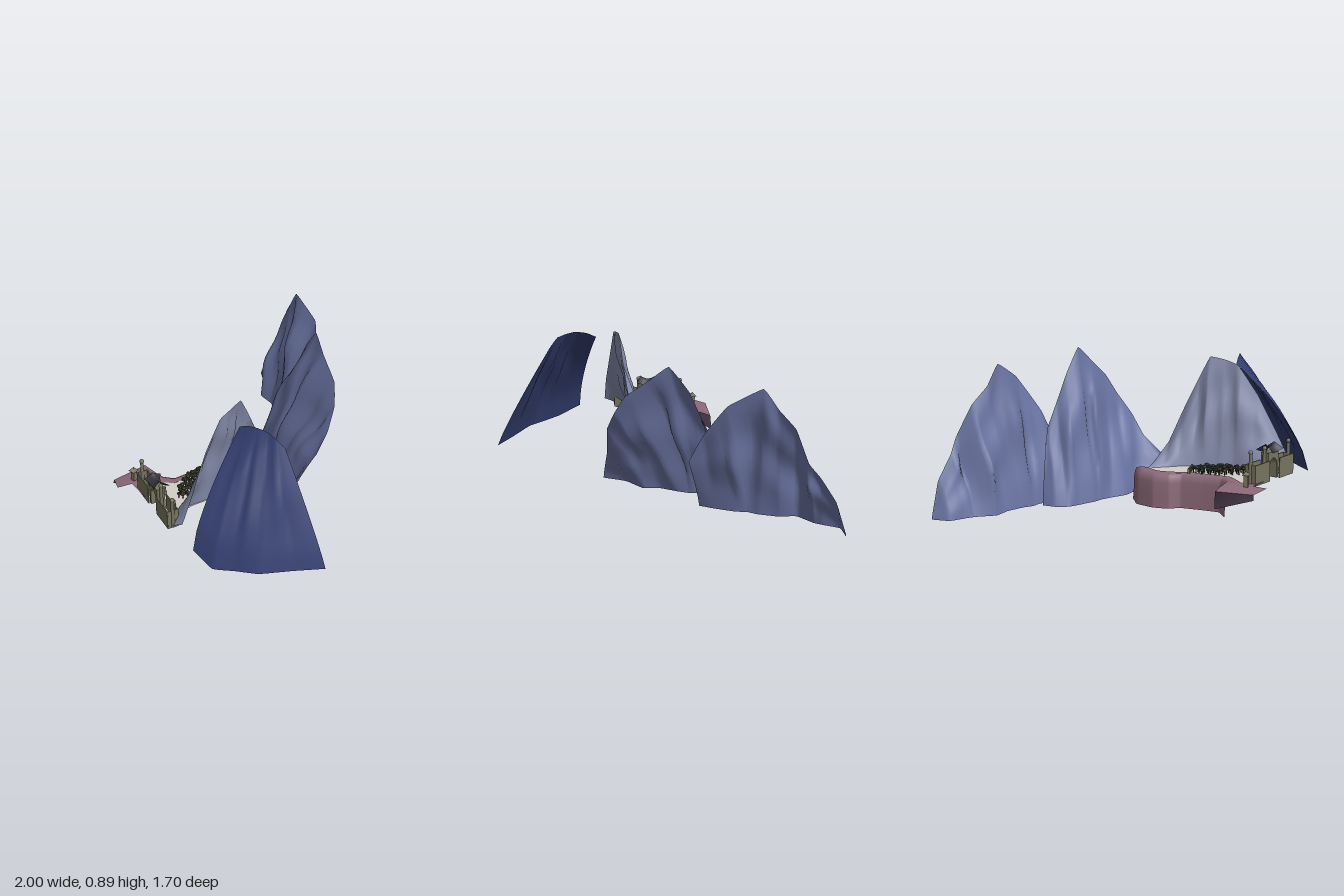
import * as THREE from 'three';

const mat = (color) => new THREE.MeshStandardMaterial({ color, side: THREE.DoubleSide });
const lerp = THREE.MathUtils.lerp;

function add(parent, name, geometry, material, x = 0, y = 0, z = 0) {
  const m = new THREE.Mesh(geometry, material);
  m.name = name;
  m.position.set(x, y, z);
  parent.add(m);
  return m;
}

// Grid surface from a rule (u along, v up)
function gridSurface(cols, rows, point) {
  const pos = [], index = [];
  for (let j = 0; j <= rows; j++) {
    for (let i = 0; i <= cols; i++) pos.push(...point(i / cols, j / rows));
  }
  for (let j = 0; j < rows; j++) {
    for (let i = 0; i < cols; i++) {
      const a = j * (cols + 1) + i, b = a + cols + 1;
      index.push(a, a + 1, b, b, a + 1, b + 1);
    }
  }
  const g = new THREE.BufferGeometry();
  g.setAttribute('position', new THREE.Float32BufferAttribute(pos, 3));
  g.setIndex(index);
  g.computeVertexNormals();
  return g;
}

// Near-straight line through points, keeping a craggy outline
const craggy = (pts) => new THREE.CatmullRomCurve3(pts.map((p) => new THREE.Vector3(...p)), false, 'catmullrom', 0.12);
const at = (y, list) => list.map(([x, z]) => [x, y, z]);

// Leaning mountain sheet between a foot line and a ridge line, with vertical folds
function mountain(foot, ridge, { rise = [0.85, 0.85], fold = 0.024, seed = 0 } = {}) {
  const f = craggy(foot), r = craggy(ridge);
  return gridSurface((foot.length - 1) * 4, 12, (u, v) => {
    const a = f.getPoint(u), b = r.getPoint(u);
    const dx = b.x - a.x, dz = b.z - a.z, len = Math.hypot(dx, dz);
    const wave = Math.sin(u * 27 + v + seed) + 0.8 * Math.sin(u * 47 - v * 2 + seed * 2)
      + 0.6 * Math.sin(v * 10 + u * 11 + seed);
    const d = v + fold * wave * Math.sin(Math.PI * v) * Math.sin(Math.PI * u) / Math.max(len, 0.08);
    return [a.x + dx * d, lerp(a.y, b.y, Math.pow(v, lerp(rise[0], rise[1], u))), a.z + dz * d];
  });
}

export function createModel() {
  const root = new THREE.Group();
  const rock = mat(0x6a74a2), darkRock = mat(0x343f70), paleRock = mat(0x858cab);
  const earth = mat(0x8c6a78), darkEarth = mat(0x4a3a4a), sand = mat(0xd2cfc8);
  const stone = mat(0x77755f), wood = mat(0x33363a), leaf = mat(0x3b3d2c);

  // Far mountain
  add(root, 'farMountain', mountain(
    at(0.01, [[0.37, -0.17], [0.43, -0.24], [0.51, -0.35], [0.53, -0.41], [0.58, -0.46], [0.64, -0.56],
      [0.67, -0.67], [0.78, -0.73], [0.82, -0.77], [0.89, -0.85], [1, -0.84]]),
    [[0.5, 0.36, -0.06], [0.56, 0.53, -0.12], [0.62, 0.64, -0.17], [0.68, 0.75, -0.23], [0.73, 0.85, -0.42],
      [0.77, 0.73, -0.5], [0.84, 0.63, -0.58], [0.92, 0.45, -0.63], [0.93, 0.36, -0.7],
      [0.98, 0.22, -0.78], [1, 0.02, -0.84]], { seed: 1 }), rock);

  // Middle mountain
  add(root, 'middleMountain', mountain(
    at(0.01, [[-0.19, 0.27], [-0.1, 0.15], [0.03, 0.08], [0.06, -0.02], [0.13, -0.1], [0.18, -0.17],
      [0.2, -0.22], [0.28, -0.33], [0.32, -0.38], [0.4, -0.4], [0.48, -0.38]]),
    [[-0.12, 0.2, 0.265], [0.02, 0.32, 0.3], [0.1, 0.45, 0.32], [0.19, 0.58, 0.3], [0.25, 0.7, 0.25],
      [0.31, 0.81, 0.12], [0.365, 0.9, 0.02], [0.41, 0.75, -0.09], [0.45, 0.6, -0.15],
      [0.49, 0.45, -0.22], [0.49, 0.36, -0.27]], { seed: 4 }), rock);

  // Mountain behind the terrace
  add(root, 'terraceMountain', mountain(
    at(0.21, [[-0.93, 0], [-0.85, -0.06], [-0.72, -0.05], [-0.6, -0.01], [-0.5, -0.01], [-0.42, 0],
      [-0.34, -0.02], [-0.26, -0.05], [-0.19, -0.09], [-0.1, -0.13]]),
    [[-0.92, 0.25, 0.07], [-0.84, 0.41, 0.08], [-0.72, 0.64, 0.08], [-0.6, 0.81, 0.09], [-0.52, 0.84, 0.1],
      [-0.43, 0.855, 0.1], [-0.36, 0.72, 0.1], [-0.265, 0.52, 0.09], [-0.19, 0.34, 0.045],
      [-0.11, 0.22, -0.06]], { fold: 0.016, seed: 2 }), paleRock);

  // Near mountain, leaning inward
  add(root, 'nearMountain', mountain(
    [[-0.6, 0.13, 0.85], [-0.73, 0.13, 0.72], [-0.87, 0.13, 0.59], [-0.935, 0.13, 0.47],
      [-1, 0.13, 0.36], [-1, 0.19, 0.22]],
    [[-0.54, 0.77, 0.51], [-0.56, 0.82, 0.46], [-0.56, 0.84, 0.4], [-0.57, 0.845, 0.34],
      [-0.57, 0.83, 0.27], [-0.57, 0.8, 0.21]], { rise: [0.9, 0.66], fold: 0.012, seed: 3 }), darkRock);

  // Terrace cliff: inner rim, rounded lip and upright face
  const inner = [[-0.7, -0.4], [-0.62, -0.27], [-0.5, -0.23], [-0.36, -0.2], [-0.26, -0.21],
    [-0.18, -0.2], [-0.13, -0.16], [-0.1, -0.12]];
  const outer = [[-0.61, -0.43], [-0.56, -0.32], [-0.45, -0.29], [-0.32, -0.265], [-0.26, -0.3],
    [-0.16, -0.29], [-0.05, -0.22], [0, -0.09]];
  const rim = craggy(at(0, inner)), edge = craggy(at(0, outer));
  const section = [[0, 0.212], [0.5, 0.212], [0.8, 0.2], [0.92, 0.16], [0.95, 0.08], [1, 0.01]];
  add(root, 'terraceCliff', gridSurface(42, section.length - 1, (u, v) => {
    const [k, y] = section[Math.round(v * (section.length - 1))];
    const p = rim.getPoint(u).lerp(edge.getPoint(u), k);
    return [p.x, y, p.z];
  }), earth);

  // Sandy terrace floor
  const outline = [...inner, [-0.2, -0.08], [-0.3, -0.03], [-0.42, 0.01], [-0.6, 0], [-0.72, -0.04],
    [-0.85, -0.05], [-0.92, 0]];
  const floor = new THREE.ShapeGeometry(new THREE.Shape(outline.map(([x, z]) => new THREE.Vector2(x, -z))));
  add(root, 'terraceFloor', floor.rotateX(-Math.PI / 2), sand, 0, 0.21, 0);

  // Approach path with a dark bank along its right side and end
  const pathLeft = [[-0.83, -0.3], [-0.78, -0.46], [-0.86, -0.5], [-0.8, -0.59]];
  const pathRight = [[-0.62, -0.27], [-0.61, -0.42], [-0.6, -0.49], [-0.575, -0.55]];
  add(root, 'approachPath', gridSurface(4, 3, (v, u) => {
    const k = Math.round(u * 3), a = pathLeft[k], b = pathRight[k];
    return [lerp(a[0], b[0], v), 0.208 - (k === 3 ? 0.02 : 0), lerp(a[1], b[1], v)];
  }), earth);
  const bank = [...pathRight.slice(1), pathLeft[3]];
  const drop = [0.06, 0.08, 0.1, 0.03];
  add(root, 'pathBank', gridSurface(3, 1, (u, v) => {
    const k = Math.round(u * 3);
    return [bank[k][0], (k < 2 ? 0.208 : 0.188) - v * drop[k], bank[k][1] - 0.01 * v];
  }), darkEarth);
  add(root, 'pathLantern', new THREE.BoxGeometry(0.025, 0.07, 0.025), stone, -0.74, 0.24, -0.48);
  add(root, 'pathLanternCap', new THREE.ConeGeometry(0.03, 0.025, 4).rotateY(Math.PI / 4), stone, -0.74, 0.287, -0.48);

  // Gate with double walls, posts and a curved roof
  const gate = new THREE.Group();
  gate.name = 'gate';
  gate.position.set(-0.835, 0.2, -0.2);
  gate.rotation.y = Math.atan2(-0.92, -0.39);
  root.add(gate);
  for (const s of [-1, 1]) {
    for (const z of [-0.032, 0.032]) {
      add(gate, 'gateWall', new THREE.BoxGeometry(0.16, 0.12, 0.006), stone, s * 0.135, 0.055, z);
    }
    add(gate, 'wallEnd', new THREE.BoxGeometry(0.006, 0.12, 0.064), stone, s * 0.213, 0.055, 0);
    for (const x of [0.06, 0.213]) {
      add(gate, 'gatePost', new THREE.CylinderGeometry(0.01, 0.012, 0.18, 8), stone, s * x, 0.09, 0);
      add(gate, 'postCap', new THREE.SphereGeometry(0.014, 8, 6), stone, s * x, 0.187, 0);
    }
  }
  const arch = new THREE.Shape();
  arch.moveTo(-0.055, 0).lineTo(-0.055, 0.16).lineTo(0.055, 0.16).lineTo(0.055, 0).lineTo(0.037, 0);
  arch.lineTo(0.037, 0.085).absarc(0, 0.085, 0.037, 0, Math.PI, false).lineTo(-0.037, 0);
  add(gate, 'gateArch', new THREE.ExtrudeGeometry(arch, { depth: 0.05, bevelEnabled: false, curveSegments: 8 }),
    stone, 0, 0, -0.025);
  add(gate, 'gateRoof', gridSurface(10, 6, (u, v) => {
    const x = (u - 0.5) * 2, z = (v - 0.5) * 2;
    return [x * (0.05 + 0.015 * z * z), 0.19 - 0.035 * Math.abs(z) + 0.02 * x * x, z * (0.03 + 0.025 * x * x)];
  }), wood);

  // Grove of small trees on the sand
  const crown = new THREE.IcosahedronGeometry(0.018, 0), trunk = new THREE.CylinderGeometry(0.003, 0.004, 0.03, 5);
  for (let i = 0; i < 60; i++) {
    const a = i * 2.4, r = Math.sqrt((i + 0.5) / 60);
    const x = -0.545 + 0.165 * r * Math.cos(a), z = -0.165 + 0.075 * r * Math.sin(a) - 0.03 * r * Math.cos(a);
    const size = 0.6 + 0.4 * Math.abs(Math.sin(i * 1.7));
    add(root, 'treeTrunk', trunk, wood, x, 0.22, z);
    const top = add(root, 'treeCrown', crown, leaf, x, 0.232 + 0.012 * Math.abs(Math.sin(i * 2.3)), z);
    top.scale.set(size, size * 0.75, size);
    top.rotation.y = i;
  }

  // Short stone fence beside the grove
  for (let i = 0; i < 6; i++) {
    add(root, 'fencePost', new THREE.BoxGeometry(0.012, 0.03, 0.012), stone, -0.365, 0.225, -0.225 + i * 0.022);
  }
  add(root, 'fenceRail', new THREE.BoxGeometry(0.006, 0.006, 0.12), stone, -0.365, 0.233, -0.17);

  // Small standing lanterns
  for (const [x, z] of [[-0.73, -0.24], [-0.79, -0.11]]) {
    add(root, 'lanternPost', new THREE.CylinderGeometry(0.007, 0.009, 0.05, 8), stone, x, 0.235, z);
  }
  return root;
}
